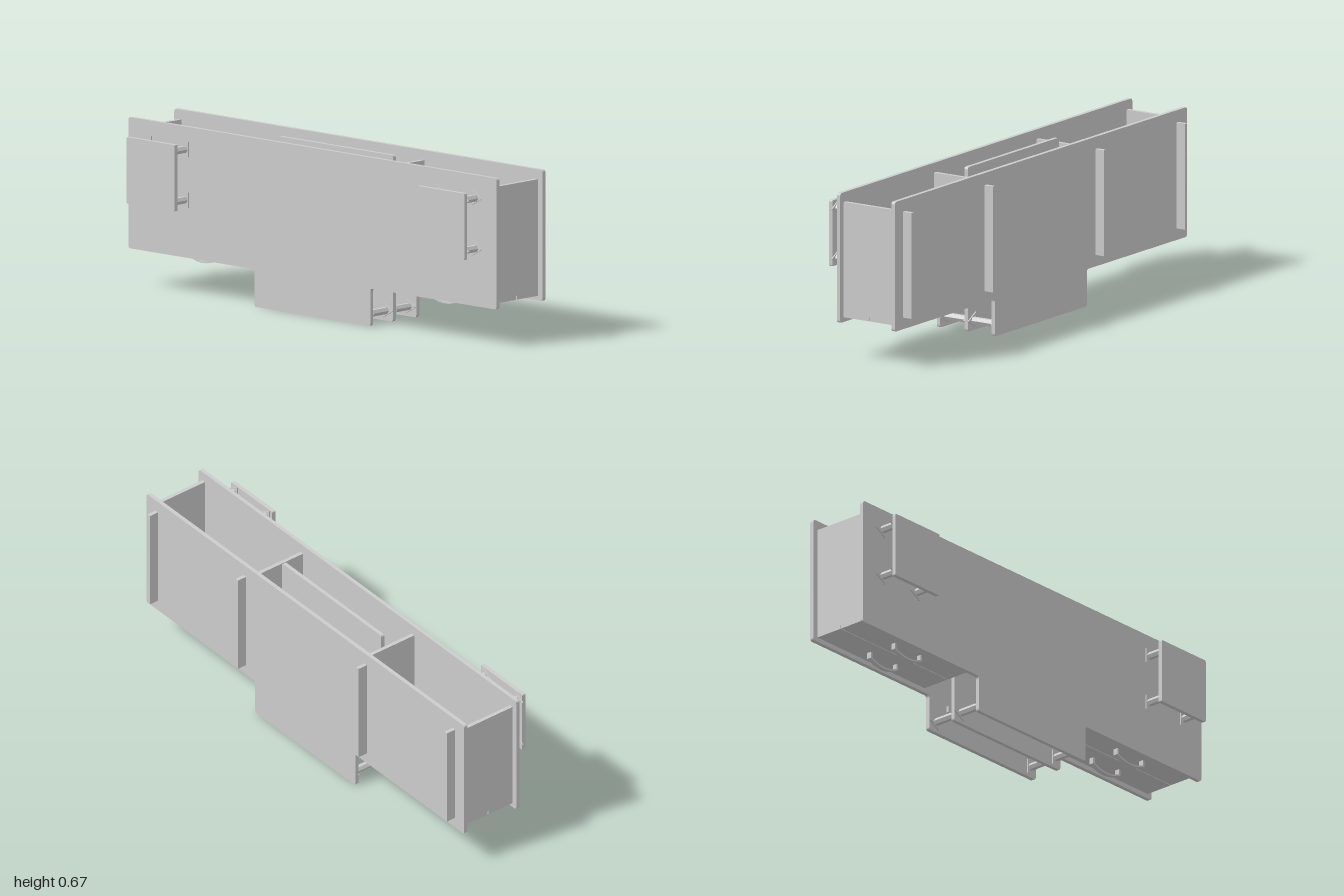
import * as THREE from 'three';

const grey = new THREE.MeshStandardMaterial({ color: 0xcccccc, flatShading: true });

export function createModel() {
  const model = new THREE.Group();

  const add = (name, geometry, x = 0, y = 0, z = 0) => {
    const mesh = new THREE.Mesh(geometry, grey);
    mesh.name = name;
    mesh.position.set(x, y, z);
    model.add(mesh);
    return mesh;
  };

  // Box given by its limits on each axis
  const box = (name, x0, x1, y0, y1, z0, z1) =>
    add(name, new THREE.BoxGeometry(Math.abs(x1 - x0), y1 - y0, z1 - z0),
      (x0 + x1) / 2, (y0 + y1) / 2, (z0 + z1) / 2);

  // Closed outline with every corner rounded
  const roundedShape = (points, r) => {
    const shape = new THREE.Shape();
    points.forEach(([x, y], i) => {
      const p = new THREE.Vector2(x, y);
      const prev = new THREE.Vector2(...points[(i + points.length - 1) % points.length]);
      const next = new THREE.Vector2(...points[(i + 1) % points.length]);
      const a = prev.sub(p).setLength(r).add(p);
      const b = next.sub(p).setLength(r).add(p);
      if (i) shape.lineTo(a.x, a.y); else shape.moveTo(a.x, a.y);
      shape.quadraticCurveTo(x, y, b.x, b.y);
    });
    shape.closePath();
    return shape;
  };

  const plate = (name, points, z0, z1, r = 0.012) =>
    add(name, new THREE.ExtrudeGeometry(roundedShape(points, r),
      { depth: z1 - z0, bevelEnabled: false, curveSegments: 5 }), 0, 0, z0);

  // Prism along z
  const prism = (name, sides, r, x, y, z0, z1, turn = 0) => {
    const g = new THREE.CylinderGeometry(r, r, z1 - z0, sides);
    g.rotateX(Math.PI / 2);
    g.rotateZ(turn);
    return add(name, g, x, y, (z0 + z1) / 2);
  };

  // Hexagonal spacer with a thin three-cornered foot at each end
  const spacer = (x, y, z0, z1) => {
    const turn = x > 0 ? Math.PI / 2 : -Math.PI / 2;
    prism('spacer', 6, 0.015, x, y, z0, z1, turn);
    prism('spacerFoot', 3, 0.035, x, y, z0, z0 + 0.005, turn);
    prism('spacerFoot', 3, 0.035, x, y, z1 - 0.005, z1, turn);
  };

  // Large front and back plates with a lower central tab
  const outline = [[-1, 0.15], [-0.315, 0.15], [-0.315, 0], [0.315, 0],
    [0.315, 0.15], [1, 0.15], [1, 0.674], [-1, 0.674]];
  plate('frontPlate', outline, 0.097, 0.113);
  plate('backPlate', outline, -0.166, -0.149);
  plate('middlePlate', [[-0.313, 0], [0.313, 0], [0.313, 0.665], [-0.313, 0.665]], -0.034, -0.018);

  // Thin curved strap below the bin floors
  const strap = new THREE.Shape();
  strap.moveTo(-0.08, 0.17);
  strap.lineTo(-0.08, 0.143);
  strap.quadraticCurveTo(0, 0.105, 0.08, 0.143);
  strap.lineTo(0.08, 0.17);
  strap.lineTo(0.071, 0.17);
  strap.lineTo(0.071, 0.146);
  strap.quadraticCurveTo(0, 0.114, -0.071, 0.146);
  strap.lineTo(-0.071, 0.17);
  strap.closePath();
  const strapGeometry = new THREE.ExtrudeGeometry(strap,
    { depth: 0.02, bevelEnabled: false, curveSegments: 10 });

  for (const s of [-1, 1]) {
    // Open-topped bin: two walls and a floor in two halves
    box('outerWall', s * 0.96, s * 0.976, 0.185, 0.635, -0.149, 0.097);
    box('innerWall', s * 0.343, s * 0.359, 0.185, 0.635, -0.149, 0.097);
    box('binFloorFront', s * 0.343, s * 0.976, 0.169, 0.185, -0.024, 0.097);
    box('binFloorBack', s * 0.343, s * 0.976, 0.169, 0.185, -0.149, -0.028);
    for (const z of [0.027, -0.1]) add('floorStrap', strapGeometry, s * 0.657, 0, z);

    // Spacers joining the lower tabs
    spacer(s * 0.28, 0.042, -0.018, 0.097);
    spacer(s * 0.28, 0.042, -0.149, -0.034);

    // Nuts on the middle and back plates
    prism('middleNut', 6, 0.026, s * 0.16, 0.108, -0.018, -0.01);
    prism('backNut', 6, 0.026, s * 0.19, 0.122, -0.149, -0.14);

    // Square panel held in front of the front plate
    const a = s * 0.657, b = s * 0.917;
    plate('frontPanel', [[Math.min(a, b), 0.35], [Math.max(a, b), 0.35],
      [Math.max(a, b), 0.616], [Math.min(a, b), 0.616]], 0.193, 0.21, 0.006);
    for (const x of [0.688, 0.89]) for (const y of [0.382, 0.584]) spacer(s * x, y, 0.113, 0.193);

    // Upright ribs on the back
    for (const x of [0.38, 0.935]) {
      box('backRib', s * x - 0.008, s * x + 0.008, 0.197, 0.625, -0.207, -0.166);
    }
  }
  return model;
}
